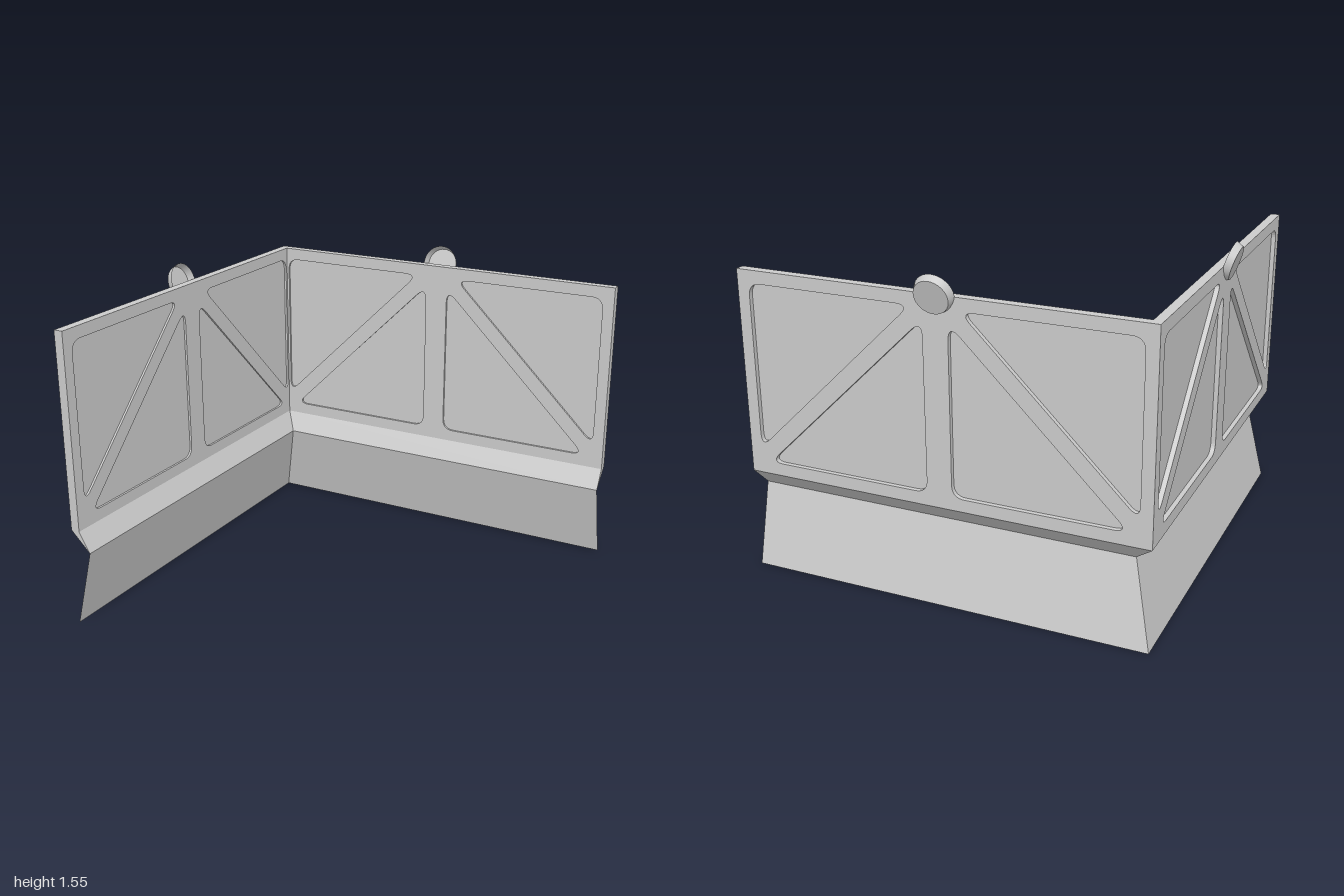
import * as THREE from 'three';
import { mergeGeometries } from 'three/addons/utils/BufferGeometryUtils.js';

const OUT = -0.945, IN = -0.9, END = 1;      // wall faces and free end
const BOTTOM = 0.49, TOP = 1.46, MID = (OUT + END) / 2;

// Closed outline with each corner [x, y, cut] rounded off
function rounded(corners, ShapeType) {
  const s = new ShapeType();
  const v = corners.map(([x, y]) => new THREE.Vector2(x, y));
  const n = v.length;
  const toward = (a, b, d) => a.clone().add(b.clone().sub(a).setLength(d));
  v.forEach((c, i) => {
    const p = toward(c, v[(i + n - 1) % n], corners[i][2]);
    const q = toward(c, v[(i + 1) % n], corners[i][2]);
    if (i === 0) s.moveTo(p.x, p.y); else s.lineTo(p.x, p.y);
    s.quadraticCurveTo(c.x, c.y, q.x, q.y);
  });
  s.closePath();
  return s;
}

// Flat strips swept along the wall from the mitred corner to the free end
function sweep(profile, closed) {
  const pos = [];
  const n = profile.length;
  for (let i = 0; i < (closed ? n : n - 1); i++) {
    const [ad, ay] = profile[i], [bd, by] = profile[(i + 1) % n];
    pos.push(ad, ay, ad, bd, by, bd, END, by, bd);
    pos.push(ad, ay, ad, END, by, bd, END, ay, ad);
  }
  if (closed) for (const [d, y] of profile) pos.push(END, y, d); // end cap
  const g = new THREE.BufferGeometry();
  g.setAttribute('position', new THREE.Float32BufferAttribute(pos, 3));
  g.computeVertexNormals();
  return g;
}

// Swap x and z to make the matching wall on the other side of the corner
function swapped(geometry) {
  const g = geometry.index ? geometry.toNonIndexed() : geometry.clone();
  g.applyMatrix4(new THREE.Matrix4().set(0, 0, 1, 0, 0, 1, 0, 0, 1, 0, 0, 0, 0, 0, 0, 1));
  const order = [];
  for (let i = 0; i < g.attributes.position.count; i += 3) order.push(i, i + 2, i + 1);
  g.setIndex(order);
  return g;
}

function extrude(shapes, z, depth) {
  const g = new THREE.ExtrudeGeometry(shapes, { depth, bevelEnabled: false, curveSegments: 8 });
  return g.translate(0, 0, z);
}

export function createModel() {
  const model = new THREE.Group();
  model.name = 'cornerBarrier';
  const solid = new THREE.MeshStandardMaterial({ color: 0xcccccc });
  const thin = new THREE.MeshStandardMaterial({ color: 0xcccccc, side: THREE.DoubleSide });

  // Triangular openings, mirrored about the middle of the wall
  const upper = [[-0.915, 1.4, 0.06], [-0.915, 0.616, 0.07], [-0.115, 1.4, 0.07]];
  const lower = [[-0.87, 0.55, 0.07], [-0.06, 0.55, 0.06], [-0.06, 1.344, 0.08]];
  const outlines = [];
  for (const side of [1, -1])
    for (const tri of [upper, lower])
      outlines.push(tri.map(([x, y, r]) => [MID + side * x, y, r]));

  // Frame with openings, mitred at the corner
  const frameShape = new THREE.Shape([
    new THREE.Vector2(OUT, BOTTOM), new THREE.Vector2(END, BOTTOM),
    new THREE.Vector2(END, TOP), new THREE.Vector2(OUT, TOP),
  ]);
  frameShape.holes = outlines.map((o) => rounded(o, THREE.Path));
  const frame = extrude(frameShape, OUT, IN - OUT);
  const p = frame.attributes.position;
  for (let i = 0; i < p.count; i++)
    if (p.getX(i) < OUT + 0.001 && p.getZ(i) > IN - 0.001) p.setX(i, IN);

  // Recessed plates filling the openings
  const plates = extrude(outlines.map((o) => rounded(o, THREE.Shape)), OUT + 0.022, 0.012);

  // Wedge under the wall and the splayed sheet below it
  const wedge = sweep([[IN, BOTTOM], [-0.845, 0.39], [OUT, BOTTOM]], true);
  const skirt = sweep([[-0.845, 0.39], [OUT, 0]], false);

  // Open-backed round cup, tilted outward at the top edge
  const face = new THREE.CircleGeometry(0.08, 32).rotateX(Math.PI / 2).translate(0, -0.0175, 0);
  const rim = new THREE.CylinderGeometry(0.0925, 0.08, 0.035, 32, 1, true);
  const lamp = mergeGeometries([rim, face])
    .rotateX(Math.PI / 2 - 0.3).translate(0.025, 1.46, -0.962);

  const parts = [
    ['frame', frame, solid], ['recessedPanels', plates, solid],
    ['lowerWedge', wedge, solid], ['skirt', skirt, thin], ['roundLamp', lamp, thin],
  ];
  for (const wallName of ['backWall', 'rightWall']) {
    const wall = new THREE.Group();
    wall.name = wallName;
    for (const [name, geometry, material] of parts) {
      const mesh = new THREE.Mesh(wallName === 'backWall' ? geometry : swapped(geometry), material);
      mesh.name = name;
      wall.add(mesh);
    }
    model.add(wall);
  }
  return model;
}
